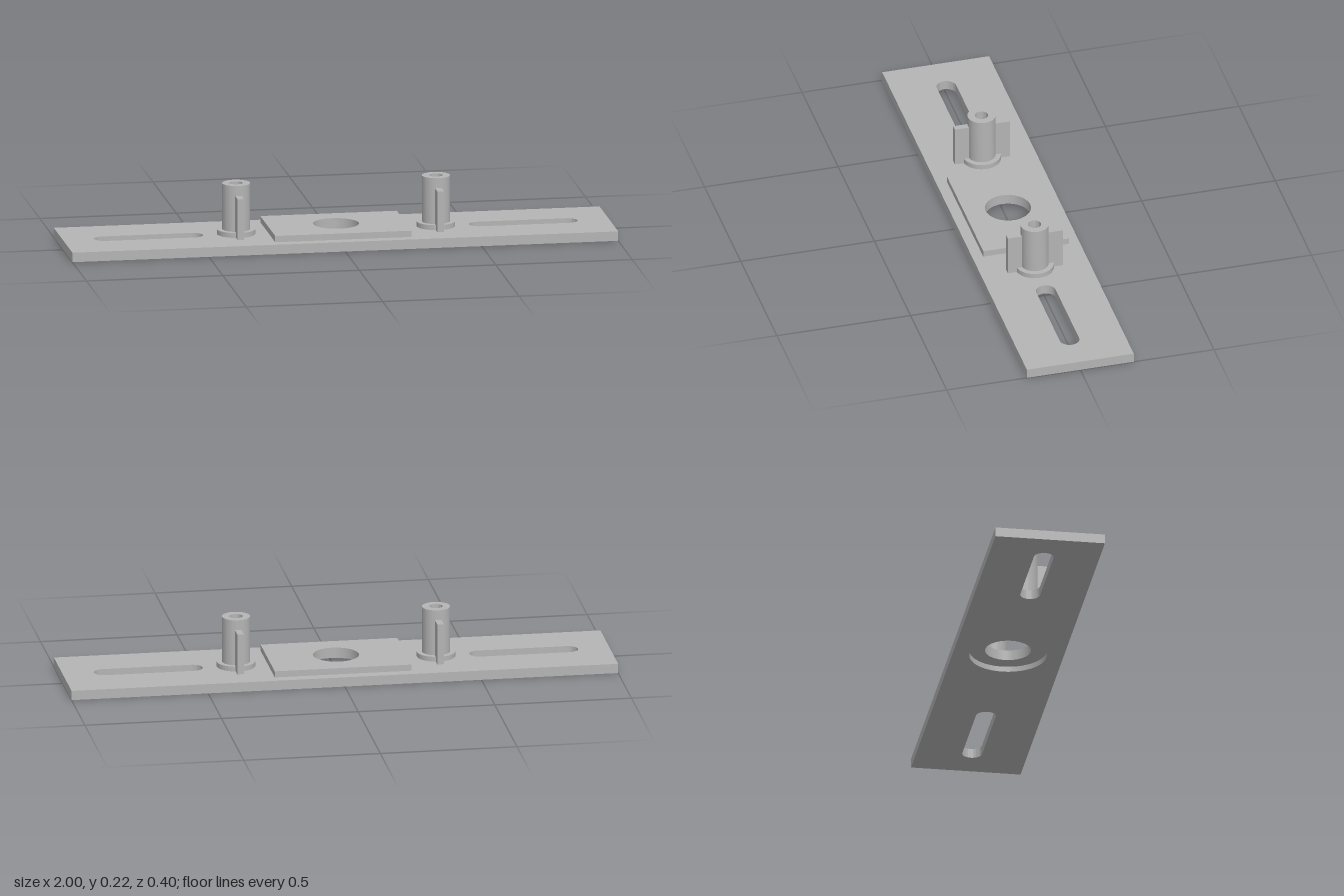
import * as THREE from 'three';
import { toCreasedNormals } from 'three/addons/utils/BufferGeometryUtils.js';

const SLOT_R = 0.036;

function rectShape(hx, hz) {
  return new THREE.Shape([[-hx, -hz], [hx, -hz], [hx, hz], [-hx, hz]].map(p => new THREE.Vector2(...p)));
}

function roundHole(r) {
  return new THREE.Path().absarc(0, 0, r, 0, Math.PI * 2, true);
}

function slotHole(x0, x1) {
  const p = new THREE.Path();
  p.absarc(x1 - SLOT_R, 0, SLOT_R, -Math.PI / 2, Math.PI / 2, false);
  p.absarc(x0 + SLOT_R, 0, SLOT_R, Math.PI / 2, Math.PI * 1.5, false);
  p.closePath();
  return p;
}

// Flat slab in the xz plane between heights y0 and y1, with holes cut through
function slab(hx, hz, y0, y1, holes) {
  const shape = rectShape(hx, hz);
  shape.holes.push(...holes);
  const g = new THREE.ExtrudeGeometry(shape, { depth: y1 - y0, bevelEnabled: false, curveSegments: 32 });
  g.rotateX(-Math.PI / 2).translate(0, y0, 0);
  return toCreasedNormals(g, 0.6);
}

export function createModel() {
  const model = new THREE.Group();
  model.name = 'mountingBracket';
  const metal = new THREE.MeshStandardMaterial({ color: 0xb4b4b4 });
  metal.name = 'grey metal';

  const add = (parent, name, geometry) => {
    const mesh = new THREE.Mesh(geometry, metal);
    mesh.name = name;
    parent.add(mesh);
    return mesh;
  };

  // Base plate in two layers: the lower one has the wide counterbore
  const slots = () => [slotHole(-0.885, -0.488), slotHole(0.488, 0.885)];
  add(model, 'plateLower', slab(1, 0.2, 0, 0.02, [roundHole(0.14), ...slots()]));
  add(model, 'plateUpper', slab(1, 0.2, 0.02, 0.035, [roundHole(0.083), ...slots()]));

  // Raised centre pad
  add(model, 'centrePad', slab(0.25, 0.16, 0.035, 0.058, [roundHole(0.083)]));

  // Hollow posts with a foot flange and two side fins
  const profile = [
    [0.07, 0.035], [0.07, 0.053], [0.051, 0.053], [0.051, 0.223],
    [0.024, 0.223], [0.024, 0.037], [0, 0.037],
  ].map(p => new THREE.Vector2(...p));
  const postGeometry = toCreasedNormals(new THREE.LatheGeometry(profile, 48), 0.6);
  const finGeometry = new THREE.BoxGeometry(0.024, 0.151, 0.056);

  for (const side of [-1, 1]) {
    const post = new THREE.Group();
    post.name = side > 0 ? 'leftPost' : 'rightPost';
    post.position.x = side * 0.366;
    add(post, 'postBarrel', postGeometry);
    for (const end of [-1, 1]) {
      add(post, end > 0 ? 'frontFin' : 'backFin', finGeometry).position.set(0, 0.1105, end * 0.075);
    }
    model.add(post);
  }
  return model;
}
